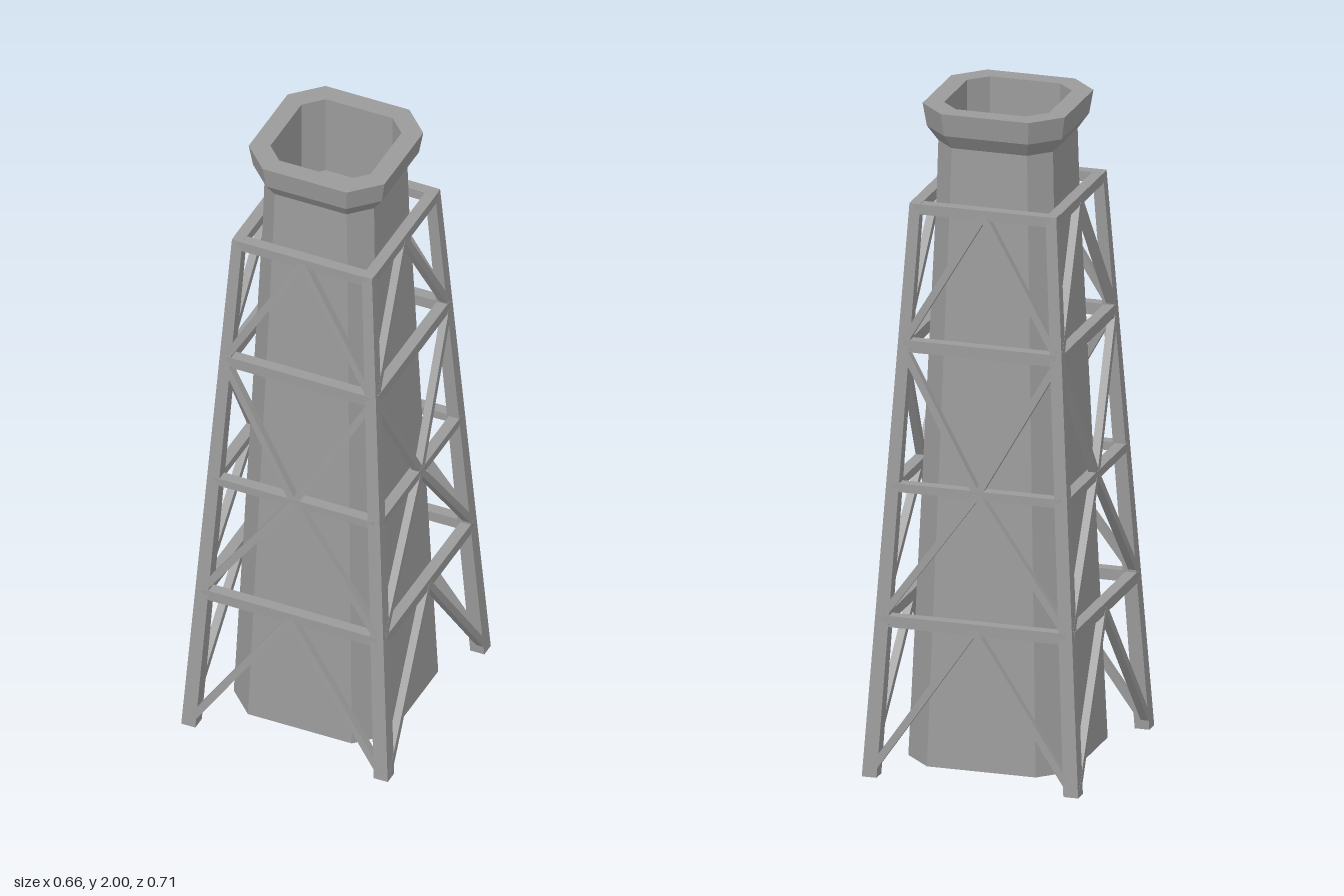
import * as THREE from 'three';

const material = new THREE.MeshStandardMaterial({ color: 0x9b9b9b, flatShading: true });

function addMesh(parent, geometry, name) {
  const mesh = new THREE.Mesh(geometry, material);
  mesh.name = name;
  parent.add(mesh);
}

// Skin a stack of horizontal rings ({ y, points: [x, z] }) and close both ends.
function loft(rings) {
  const pos = [];
  const n = rings[0].points.length;
  const put = (r, i) => pos.push(r.points[i % n][0], r.y, r.points[i % n][1]);
  for (let k = 0; k + 1 < rings.length; k++) {
    const a = rings[k], b = rings[k + 1];
    for (let i = 0; i < n; i++) {
      put(a, i); put(a, i + 1); put(b, i + 1);
      put(a, i); put(b, i + 1); put(b, i);
    }
  }
  const first = rings[0], last = rings[rings.length - 1];
  for (let i = 1; i + 1 < n; i++) {
    put(first, 0); put(first, i + 1); put(first, i);
    put(last, 0); put(last, i); put(last, i + 1);
  }
  const geometry = new THREE.BufferGeometry();
  geometry.setAttribute('position', new THREE.Float32BufferAttribute(pos, 3));
  geometry.computeVertexNormals();
  return geometry;
}

// Square with cut corners: half is its half width, flat the half length of each side.
function cutSquare(y, half, flat) {
  const points = [];
  let side = [[-flat, half], [flat, half]];
  for (let k = 0; k < 4; k++) {
    points.push(...side);
    side = side.map(([x, z]) => [z, -x]);
  }
  return { y, points };
}

function rectangle(y, x0, x1, z0, z1) {
  return { y, points: [[x0, z1], [x1, z1], [x1, z0], [x0, z0]] };
}

// Outer half width (x), half depth (z) and leg thickness of the frame at height y.
const TOP = 1.725;
function frameAt(y) {
  const lerp = THREE.MathUtils.lerp;
  const t = y / TOP;
  return { x: lerp(0.33, 0.224, t), z: lerp(0.356, 0.235, t), w: lerp(0.045, 0.033, t) };
}

// Rectangular bar from p to q whose broad face points along outward.
function bar(p, q, outward, width, depth) {
  const along = q.clone().sub(p);
  const length = along.length();
  along.normalize();
  const across = new THREE.Vector3().crossVectors(along, outward).normalize();
  const normal = new THREE.Vector3().crossVectors(across, along);
  const geometry = new THREE.BoxGeometry(width, length, depth);
  const matrix = new THREE.Matrix4().makeBasis(across, along, normal);
  matrix.setPosition(p.clone().add(q).multiplyScalar(0.5).addScaledVector(normal, -depth / 2));
  return geometry.applyMatrix4(matrix);
}

export function createModel() {
  const model = new THREE.Group();
  model.name = 'chimneyTower';

  // Tapered shaft, flared rim and hollow mouth in one skin
  addMesh(model, loft([
    cutSquare(0.014, 0.25, 0.166),
    cutSquare(1.72, 0.179, 0.119),
    cutSquare(1.885, 0.175, 0.115),
    cutSquare(1.93, 0.206, 0.128),
    cutSquare(2.0, 0.217, 0.134),
    cutSquare(2.0, 0.16, 0.107),
    cutSquare(1.74, 0.16, 0.107),
  ]), 'shaft');

  // Four corner legs
  const legs = new THREE.Group();
  legs.name = 'legs';
  model.add(legs);
  for (const sx of [-1, 1]) {
    for (const sz of [-1, 1]) {
      const rings = [0, TOP].map((y) => {
        const f = frameAt(y);
        const xs = [sx * f.x, sx * (f.x - f.w)].sort((a, b) => a - b);
        const zs = [sz * f.z, sz * (f.z - f.w)].sort((a, b) => a - b);
        return rectangle(y, ...xs, ...zs);
      });
      addMesh(legs, loft(rings), 'leg');
    }
  }

  // Horizontal rails and diagonal braces on all four sides
  const rails = new THREE.Group();
  rails.name = 'rails';
  const braces = new THREE.Group();
  braces.name = 'braces';
  model.add(rails, braces);

  const railLevels = [0.47, 0.872, 1.297, 1.709];
  const railHeights = [0.034, 0.026, 0.036, 0.031];
  // [height at the corners, height at the middle] of each bay
  const bays = [[0.015, 0.465], [0.485, 0.872], [1.285, 0.872], [1.31, 1.705]];

  for (const axis of ['x', 'z']) {
    const other = axis === 'x' ? 'z' : 'x';
    for (const sign of [-1, 1]) {
      const outward = new THREE.Vector3();
      outward[axis] = sign;
      // Point on this side's outer plane; u = -1..1 runs between leg centres
      const at = (u, y) => {
        const f = frameAt(y);
        const p = new THREE.Vector3(0, y, 0);
        p[axis] = sign * f[axis];
        p[other] = u * (f[other] - f.w / 2);
        return p;
      };
      railLevels.forEach((y, i) => {
        addMesh(rails, bar(at(-1, y), at(1, y), outward, railHeights[i], 0.034), 'rail');
      });
      for (const [cornerY, middleY] of bays) {
        for (const u of [-1, 1]) {
          addMesh(braces, bar(at(u, cornerY), at(0, middleY), outward, 0.022, 0.024), 'brace');
        }
      }
    }
  }
  return model;
}
